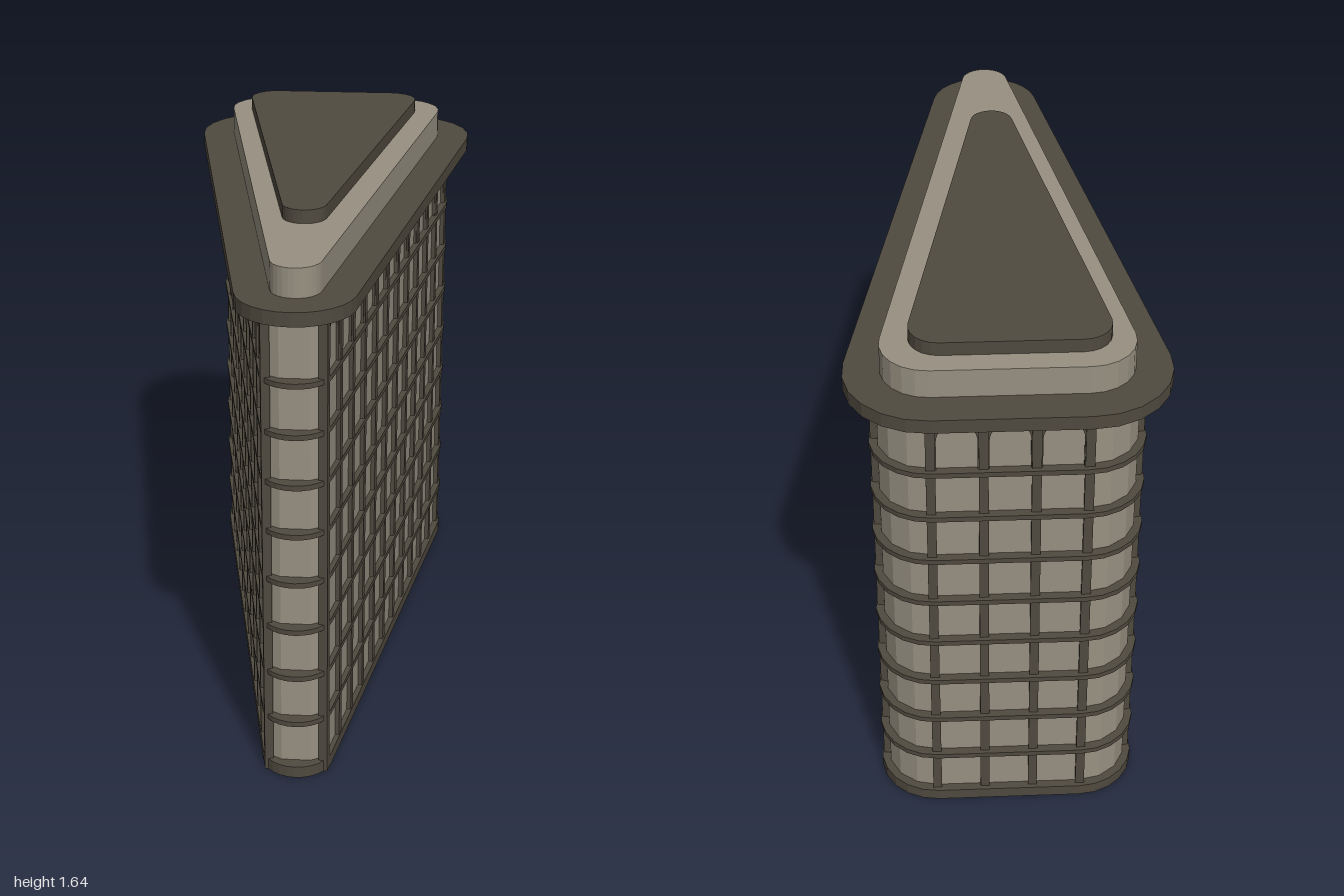
import * as THREE from 'three';

const stone = new THREE.MeshStandardMaterial({ color: 0x989182 });
stone.name = 'pale stone';
const trim = new THREE.MeshStandardMaterial({ color: 0x504a3f });
trim.name = 'dark trim';

const LEAN = 0.176; // angle of the long facades to the z axis
const WALL_TOP = 1.47;

// Rounded wedge plan: one narrow front tip and two back corners, as [x, z] points
function wedge(tipZ, tipR, backX, backZ, backR, seg = 6) {
  const half = [];
  for (let i = 0; i <= seg; i++) { // back corner, from the back edge to the side
    const a = -Math.PI / 2 + (Math.PI / 2 + LEAN) * i / seg;
    half.push([backX + backR * Math.cos(a), backZ + backR * Math.sin(a)]);
  }
  for (let i = 0; i <= seg; i++) { // half of the tip
    const a = LEAN + (Math.PI / 2 - LEAN) * i / seg;
    half.push([tipR * Math.cos(a), tipZ + tipR * Math.sin(a)]);
  }
  return mirrored(half);
}

function mirrored(half) {
  const other = half.filter(p => Math.abs(p[0]) > 1e-6).map(([x, z]) => [-x, z]).reverse();
  return [...half, ...other];
}

// Upright prism over a plan, from y0 to y1
function layer(name, plan, y0, y1, material) {
  const shape = new THREE.Shape(plan.map(([x, z]) => new THREE.Vector2(x, -z)));
  const geo = new THREE.ExtrudeGeometry(shape, { depth: y1 - y0, bevelEnabled: false });
  geo.rotateX(-Math.PI / 2).translate(0, y0, 0);
  const mesh = new THREE.Mesh(geo, material);
  mesh.name = name;
  return mesh;
}

// Spandrel panel with an arched opening, for one bay
function archGeometry(width) {
  const w = width / 2, r = 0.057, spring = 1.37, bottom = 1.265;
  const s = new THREE.Shape();
  s.moveTo(-w, bottom);
  s.lineTo(-r, bottom);
  s.lineTo(-r, spring);
  s.absarc(0, spring, r, Math.PI, 0, true);
  s.lineTo(r, bottom);
  s.lineTo(w, bottom);
  s.lineTo(w, WALL_TOP);
  s.lineTo(-w, WALL_TOP);
  s.closePath();
  return new THREE.ExtrudeGeometry(s, { depth: 0.008, bevelEnabled: false, curveSegments: 8 });
}

// Pilasters and arches along one wall; local +z points outward
function facade(name, bays, bayWidth, x, z, turn) {
  const g = new THREE.Group();
  g.name = name;
  const pilasterGeo = new THREE.BoxGeometry(0.027, WALL_TOP, 0.026);
  const archGeo = archGeometry(bayWidth);
  for (let i = 0; i <= bays; i++) {
    const px = (i - bays / 2) * bayWidth;
    const pilaster = new THREE.Mesh(pilasterGeo, trim);
    pilaster.name = 'pilaster';
    pilaster.position.set(px, WALL_TOP / 2, 0);
    g.add(pilaster);
    if (i === bays) continue;
    const arch = new THREE.Mesh(archGeo, trim);
    arch.name = 'windowArch';
    arch.position.x = px + bayWidth / 2;
    g.add(arch);
  }
  g.position.set(x, 0, z);
  g.rotation.y = turn;
  return g;
}

export function createModel() {
  const model = new THREE.Group();
  model.name = 'wedgeBuilding';

  // Wall core with a blunt faceted tip
  const half = [];
  for (let i = 0; i <= 4; i++) {
    const a = -Math.PI / 2 + (Math.PI / 2 + LEAN) * i / 4;
    half.push([0.22 + 0.15 * Math.cos(a), -0.75 + 0.15 * Math.sin(a)]);
  }
  half.push([0.085, 0.87], [0.043, 0.894]);
  model.add(layer('walls', mirrored(half), 0.01, WALL_TOP, stone));

  // Base and floor bands
  const band = wedge(0.83, 0.105, 0.217, -0.752, 0.175);
  model.add(layer('base', band, 0, 0.036, trim));
  for (let k = 0; k < 8; k++) {
    const y = 0.184 + k * 0.1546;
    model.add(layer('floorBand', band, y - 0.008, y + 0.008, trim));
  }

  // Long sides and back
  const sideZ = 0.069, sideX = 0.085 + (0.87 - sideZ) * 0.1775;
  const turn = Math.PI / 2 - LEAN;
  model.add(facade('leftFacade', 11, 0.1498, sideX, sideZ, turn));
  model.add(facade('rightFacade', 11, 0.1498, -sideX, sideZ, -turn));
  model.add(facade('backFacade', 3, 0.147, 0, -0.9, Math.PI));

  // Cornice, parapet and roof
  model.add(layer('cornice', wedge(0.828, 0.172, 0.217, -0.76, 0.24), 1.466, 1.508, trim));
  model.add(layer('parapet', wedge(0.818, 0.073, 0.217, -0.757, 0.136), 1.508, 1.595, stone));
  const roof = layer('roofCap', wedge(0.445, 0.066, 0.195, -0.737, 0.085), 1.595, 1.636, trim);
  roof.position.x = -0.007;
  model.add(roof);
  return model;
}
